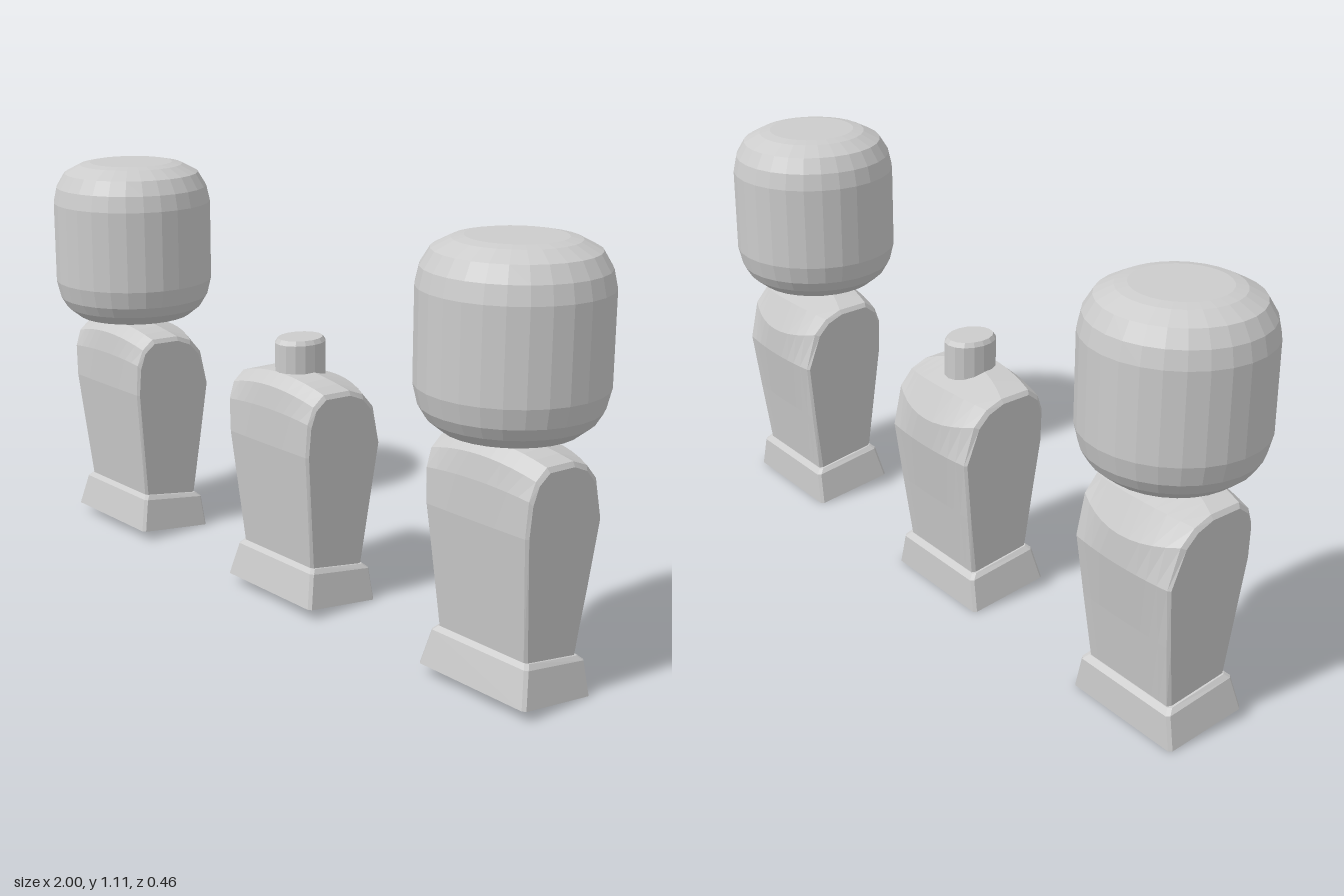
import * as THREE from 'three';

const material = new THREE.MeshStandardMaterial({ color: 0xcccccc, flatShading: true });

// Skin a row of equal-length rings and close both ends with fans.
// Rings run clockwise about the direction of advance.
function loft(rings) {
  const n = rings[0].length, pos = rings.flat(2), idx = [];
  for (let i = 0; i < rings.length - 1; i++) {
    for (let j = 0; j < n; j++) {
      const k = (j + 1) % n, a = i * n, b = a + n;
      idx.push(a + j, b + j, b + k, a + j, b + k, a + k);
    }
  }
  [rings[0], rings[rings.length - 1]].forEach((ring, end) => {
    const c = pos.length / 3, o = end * (rings.length - 1) * n;
    for (let axis = 0; axis < 3; axis++) pos.push(ring.reduce((s, p) => s + p[axis], 0) / n);
    for (let j = 0; j < n; j++) {
      const k = (j + 1) % n;
      if (end) idx.push(c, o + k, o + j);
      else idx.push(c, o + j, o + k);
    }
  });
  const g = new THREE.BufferGeometry();
  g.setAttribute('position', new THREE.Float32BufferAttribute(pos, 3));
  g.setIndex(idx);
  g.computeVertexNormals();
  return g;
}

// Body side profiles as [z, y], running up the front, over the top and down the back
const sideFace = [[.068, .13], [.103, .45], [.1, .53], [.085, .575], [.053, .6], [-.03, .597],
  [-.075, .578], [-.106, .545], [-.14, .445], [-.12, .28], [-.095, .1]];
const bevelEdge = [[.075, .127], [.109, .45], [.107, .54], [.09, .585], [.056, .612], [-.032, .609],
  [-.08, .59], [-.118, .55], [-.146, .445], [-.127, .28], [-.105, .1]];
const middle = [[.075, .127], [.11, .45], [.109, .55], [.1, .61], [.066, .64], [0, .645],
  [-.115, .61], [-.157, .525], [-.158, .445], [-.13, .28], [-.105, .1]];

// Body: tapers in width, arched across the shoulders and back
function bodyGeometry() {
  const halfWidth = y => 0.145 + 0.031 * (Math.min(y, 0.6) - 0.12) / 0.48;
  const ring = (t, profile) => profile.map(([z, y]) => [t * halfWidth(y), y, z]);
  const rings = [ring(-1, sideFace)];
  const steps = 10, inset = 0.955;
  for (let i = 0; i <= steps; i++) {
    const s = 2 * i / steps - 1, bulge = 1 - s * s;
    rings.push(ring(s * inset, bevelEdge.map(([z, y], j) => [
      z + (middle[j][0] - z) * bulge, y + (middle[j][1] - y) * bulge])));
  }
  rings.push(ring(1, sideFace));
  return loft(rings);
}

// Foot: sloping block with chamfered corners; each level is half width, front z, y and back z, y
function footGeometry() {
  const c = 0.008;
  const levels = [[.178, .11, .03, -.125, 0], [.16, .088, .12, -.121, .088], [.15, .076, .131, -.107, .101]];
  return loft(levels.map(([w, zf, yf, zb, yb]) => [
    [w, zb + c], [w, zf - c], [w - c, zf], [c - w, zf],
    [-w, zf - c], [-w, zb + c], [c - w, zb], [w - c, zb],
  ].map(([x, z]) => [x, yb + (yf - yb) * (z - zb) / (zf - zb), z])));
}

const lathe = (points, sides) =>
  new THREE.LatheGeometry(points.map(p => new THREE.Vector2(...p)), sides);

// Neck: short oval stub with a bevelled rim
const neckGeometry = () => lathe([[0, .57], [.06, .57], [.06, .715], [.053, .727], [0, .727]], 16)
  .scale(1, 1, 1.22).translate(0, 0, -0.006);

// Cap: large drum with rounded rims
const capGeometry = () => lathe([[0, .65], [.13, .65], [.165, .657], [.2, .685], [.218, .715], [.23, .765],
  [.23, .995], [.22, .04 + 1], [.196, 1.08], [.15, 1.104], [.12, 1.11], [0, 1.11]], 28);

export function createModel() {
  const model = new THREE.Group();
  const parts = { body: bodyGeometry(), foot: footGeometry(), neck: neckGeometry(), cap: capGeometry() };

  // Two capped bottles flank an open one
  const bottles = [['rightBottle', -0.77, true], ['middleBottle', 0, false], ['leftBottle', 0.77, true]];
  for (const [name, x, capped] of bottles) {
    const bottle = new THREE.Group();
    bottle.name = name;
    bottle.position.x = x;
    for (const [part, geometry] of Object.entries(parts)) {
      if (part === 'cap' && !capped) continue;
      const mesh = new THREE.Mesh(geometry, material);
      mesh.name = part;
      bottle.add(mesh);
    }
    model.add(bottle);
  }
  return model;
}
